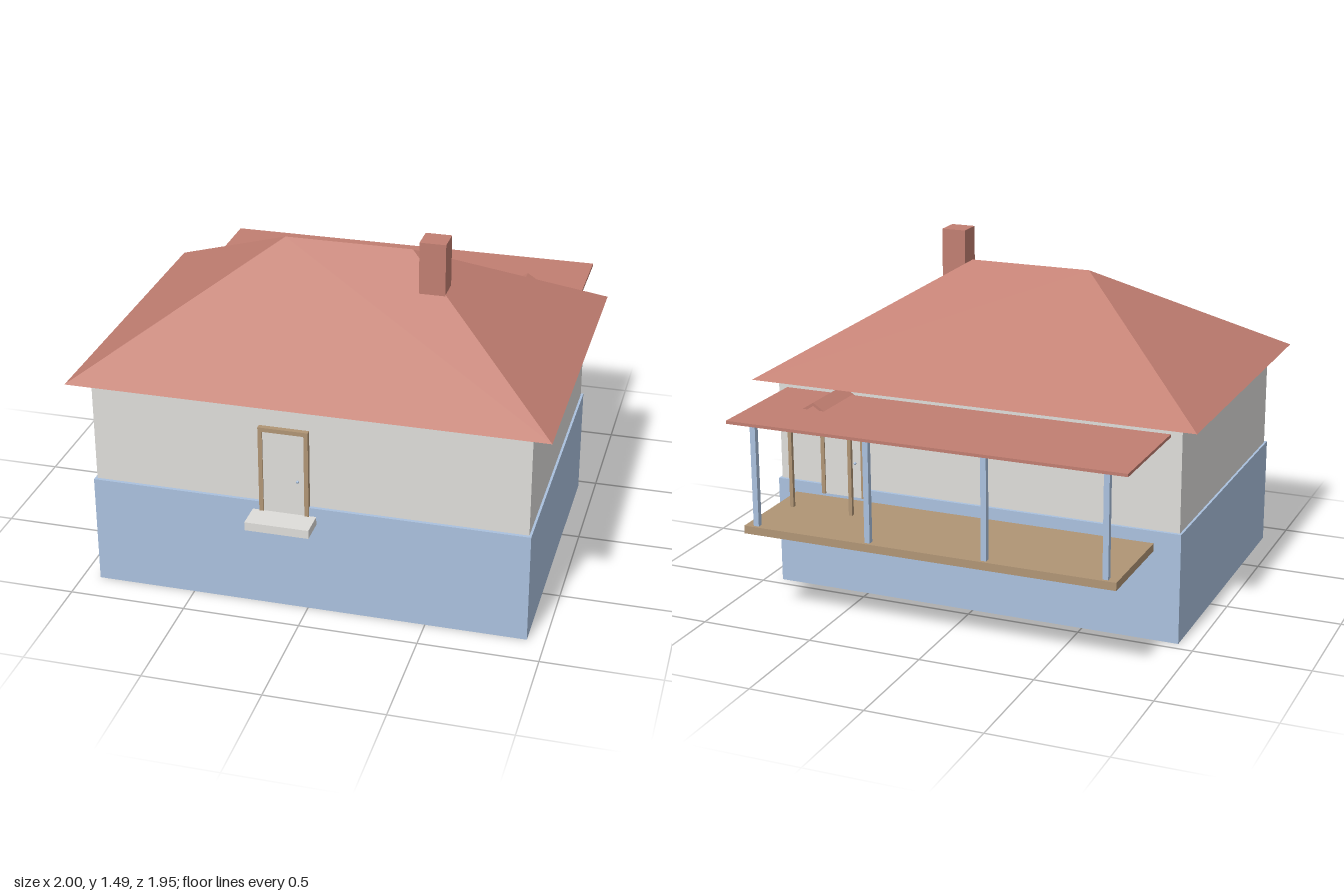
import * as THREE from 'three';
import { ConvexGeometry } from 'three/addons/geometries/ConvexGeometry.js';

export function createModel() {
  const model = new THREE.Group();
  model.name = 'house';

  const material = (name, color) => {
    const m = new THREE.MeshStandardMaterial({ color });
    m.name = name;
    return m;
  };
  const blue = material('blue paint', 0xaac1de);
  const grey = material('pale plaster', 0xdedddA);
  const red = material('red roofing', 0xc17e71);
  const wood = material('brown wood', 0xb09575);

  const add = (name, geometry, mat, parent = model) => {
    const mesh = new THREE.Mesh(geometry, mat);
    mesh.name = name;
    parent.add(mesh);
    return mesh;
  };
  // Box given by its extents on each axis
  const box = (name, mat, [x0, x1], [y0, y1], [z0, z1], parent) => {
    const mesh = add(name, new THREE.BoxGeometry(x1 - x0, y1 - y0, z1 - z0), mat, parent);
    mesh.position.set((x0 + x1) / 2, (y0 + y1) / 2, (z0 + z1) / 2);
    return mesh;
  };

  // House body
  box('basement', blue, [-0.925, 0.925], [0, 0.48], [-0.455, 0.86]);
  box('upperWalls', grey, [-0.915, 0.915], [0.48, 0.94], [-0.44, 0.845]);

  // Hipped roof: four eave corners and two ridge ends
  const roofPoints = [];
  for (const s of [-1, 1]) {
    roofPoints.push(
      new THREE.Vector3(s, 0.94, 0.92),
      new THREE.Vector3(s, 0.94, -0.525),
      new THREE.Vector3(s * 0.275, 1.38, 0.2)
    );
  }
  add('hippedRoof', new ConvexGeometry(roofPoints), red);
  box('chimney', red, [0.345, 0.455], [1.24, 1.49], [0.275, 0.385]);

  // Door modelled facing +z, with its back on the wall plane z = 0
  const door = (name) => {
    const g = new THREE.Group();
    g.name = name;
    const w = 0.105, t = 0.018;
    box('doorPanel', grey, [-w + t, w - t], [0.44, 0.805], [0, 0.018], g);
    for (const s of [-1, 1]) {
      const x = s * (w - t / 2);
      box('doorJamb', wood, [x - t / 2, x + t / 2], [0.44, 0.825], [0, 0.024], g);
    }
    box('doorLintel', wood, [-w + t, w - t], [0.807, 0.825], [0, 0.024], g);
    const knob = add('doorKnob', new THREE.SphereGeometry(0.006, 10, 8), blue, g);
    knob.position.set(0.06, 0.598, 0.024);
    model.add(g);
    return g;
  };
  door('frontDoor').position.set(-0.095, 0, 0.843);
  const backDoor = door('backDoor');
  backDoor.position.set(0.605, 0, -0.438);
  backDoor.rotation.y = Math.PI;

  // Steps below the doors
  box('frontStep', grey, [-0.23, 0.04], [0.405, 0.442], [0.86, 0.975]);
  box('backStep', grey, [0.445, 0.765], [0.337, 0.407], [-0.657, -0.455]);

  // Rear porch
  box('porchDeck', wood, [-0.82, 0.82], [0.408, 0.442], [-0.945, -0.49]);
  box('porchRoof', red, [-0.87, 0.867], [0.89, 0.903], [-0.975, -0.455]);
  for (const x of [-0.77, -0.257, 0.257, 0.77]) {
    box('porchPost', blue, [x - 0.012, x + 0.012], [0.44, 0.892], [-0.932, -0.908]);
  }

  // Small gabled canopy over the back door
  const gable = new THREE.Shape([
    [-0.15, 0.838], [-0.132, 0.838], [0, 0.921], [0.132, 0.838], [0.15, 0.838], [0, 0.935],
  ].map(([x, y]) => new THREE.Vector2(x, y)));
  const canopy = add('canopyRoof', new THREE.ExtrudeGeometry(gable, { depth: 0.27, bevelEnabled: false }), red);
  canopy.position.set(0.605, 0, -0.71);
  for (const x of [0.465, 0.745]) {
    box('canopyPost', wood, [x - 0.008, x + 0.008], [0.4, 0.842], [-0.67, -0.654]);
  }

  return model;
}
